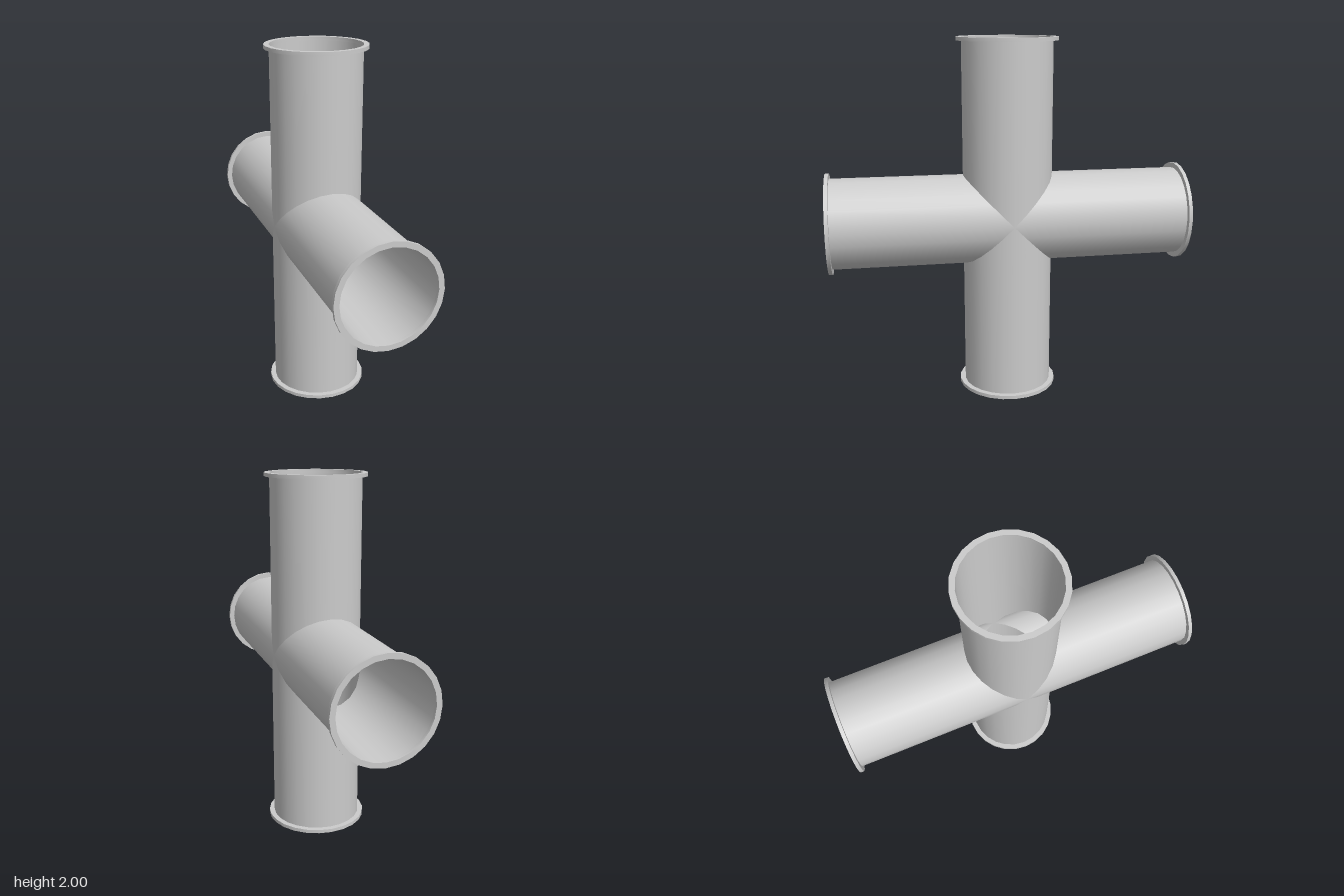
import * as THREE from 'three';
import { toCreasedNormals } from 'three/addons/utils/BufferGeometryUtils.js';

const SIDES = 24, R = 0.25, FLANGE_R = 0.279, FLANGE_H = 0.02, REACH = 1;

// Open pipe running up +y, its lower end mitred along y = |z| to meet its neighbours
function mitredPipe() {
  const top = REACH - FLANGE_H;
  const geo = new THREE.CylinderGeometry(R, R, top, SIDES, 1, true);
  geo.translate(0, top / 2, 0);
  const pos = geo.attributes.position;
  for (let i = 0; i < pos.count; i++) {
    if (pos.getY(i) < top / 2) pos.setY(i, Math.abs(pos.getZ(i)));
  }
  return geo;
}

// Square-edged ring around the open end of a pipe
function flangeRing() {
  const y0 = REACH - FLANGE_H;
  const profile = [[R, y0], [FLANGE_R, y0], [FLANGE_R, REACH], [R, REACH], [R, y0]]
    .map(([x, y]) => new THREE.Vector2(x, y));
  return toCreasedNormals(new THREE.LatheGeometry(profile, SIDES), 0.6);
}

export function createModel() {
  const model = new THREE.Group();
  model.name = 'crossPipe';
  const material = new THREE.MeshStandardMaterial({ color: 0xcccccc, side: THREE.DoubleSide });
  const pipeGeo = mitredPipe();
  const flangeGeo = flangeRing();

  // Four arms turned about the x axis
  ['top', 'front', 'bottom', 'back'].forEach((side, i) => {
    const arm = new THREE.Group();
    arm.name = side + 'Arm';
    const pipe = new THREE.Mesh(pipeGeo, material);
    pipe.name = side + 'Pipe';
    const flange = new THREE.Mesh(flangeGeo, material);
    flange.name = side + 'Flange';
    arm.add(pipe, flange);
    arm.rotation.x = i * Math.PI / 2;
    arm.position.y = REACH;
    model.add(arm);
  });
  return model;
}
